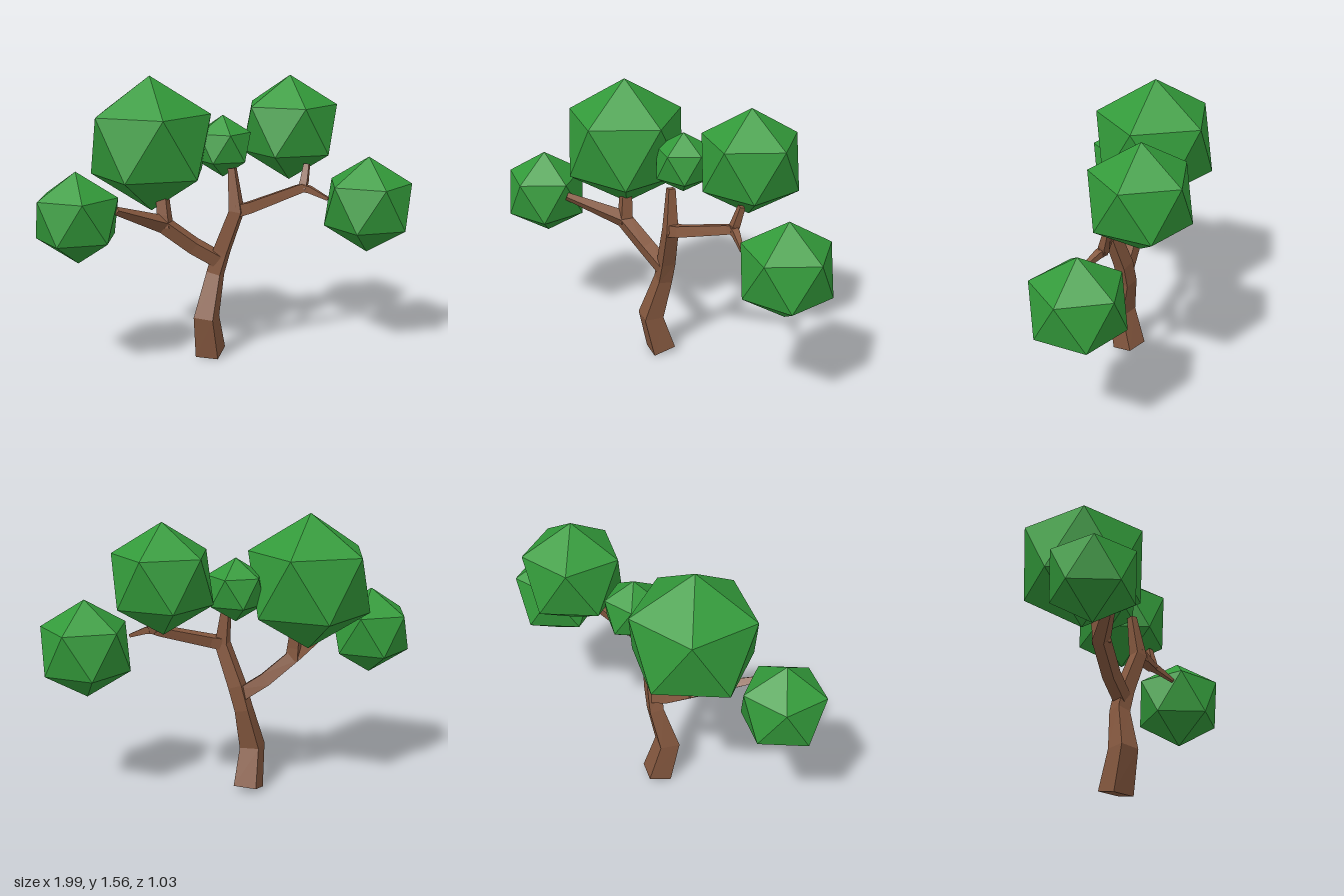
import * as THREE from 'three';

const bark = new THREE.MeshStandardMaterial({ color: 0x85583f, flatShading: true });
const leaf = new THREE.MeshStandardMaterial({ color: 0x339a3a, flatShading: true });

// Square-section limb through points [x, y, z, half width]; hint sets the roll of the section.
function limb(name, points, hint) {
  const centres = points.map(p => new THREE.Vector3(p[0], p[1], p[2]));
  const last = points.length - 1;
  const dir = (a, b) => centres[b].clone().sub(centres[a]).normalize();
  const position = [], index = [];
  points.forEach((p, i) => {
    const t = new THREE.Vector3();
    if (i > 0) t.add(dir(i - 1, i));
    if (i < last) t.add(dir(i, i + 1));
    t.normalize();
    const v = t.clone().cross(hint).normalize();
    const u = v.clone().cross(t);
    for (const [a, b] of [[1, -1], [1, 1], [-1, 1], [-1, -1]]) {
      const c = centres[i].clone().addScaledVector(u, a * p[3]).addScaledVector(v, b * p[3]);
      position.push(c.x, c.y, c.z);
    }
    if (i === last) return;
    for (let k = 0; k < 4; k++) {
      const a = i * 4 + k, b = i * 4 + (k + 1) % 4;
      index.push(a, b, b + 4, a, b + 4, a + 4);
    }
  });
  // end caps
  const e = last * 4;
  index.push(0, 2, 1, 0, 3, 2, e, e + 1, e + 2, e, e + 2, e + 3);
  let geometry = new THREE.BufferGeometry();
  geometry.setAttribute('position', new THREE.Float32BufferAttribute(position, 3));
  geometry.setIndex(index);
  geometry = geometry.toNonIndexed();
  geometry.computeVertexNormals();
  const mesh = new THREE.Mesh(geometry, bark);
  mesh.name = name;
  return mesh;
}

// Icosahedron standing on one of its corners.
function foliage(name, x, y, z, radius) {
  const geometry = new THREE.IcosahedronGeometry(radius, 0);
  geometry.rotateZ(-Math.atan(2 / (1 + Math.sqrt(5))));
  const mesh = new THREE.Mesh(geometry, leaf);
  mesh.position.set(x, y, z);
  mesh.name = name;
  return mesh;
}

export function createModel() {
  const tree = new THREE.Group();
  tree.name = 'tree';
  const upright = new THREE.Vector3(0.96, 0, 0.28);
  const sideways = new THREE.Vector3(0.28, 0, -0.96);

  // trunk, running on into the central branch
  tree.add(limb('trunk', [
    [-0.112, 0.02, -0.008, 0.065],
    [-0.13, 0.245, 0.048, 0.055],
    [-0.083, 0.48, -0.005, 0.039],
    [-0.047, 0.61, 0, 0.039],
    [0.035, 0.84, 0.035, 0.034],
    [0.01, 1.07, 0.012, 0.019],
  ], upright));

  // branch on the model's right, with its twigs
  tree.add(limb('rightBranch', [
    [-0.07, 0.56, 0, 0.036],
    [-0.2, 0.64, 0.02, 0.036],
    [-0.36, 0.77, 0.065, 0.036],
    [-0.58, 0.893, 0.295, 0.016],
  ], sideways));
  tree.add(limb('rightTwig', [
    [-0.35, 0.75, 0.06, 0.035],
    [-0.355, 0.82, 0.055, 0.031],
    [-0.365, 0.93, 0.04, 0.027],
  ], upright));

  // branch on the model's left, with its twigs
  tree.add(limb('leftBranch', [
    [0.03, 0.84, 0.035, 0.033],
    [0.1, 0.855, 0.022, 0.03],
    [0.37, 0.937, -0.088, 0.024],
    [0.415, 0.95, -0.098, 0.019],
  ], sideways));
  tree.add(limb('leftUpperTwig', [
    [0.39, 0.935, -0.095, 0.022],
    [0.402, 0.98, -0.105, 0.02],
    [0.415, 1.07, -0.13, 0.015],
  ], upright));
  tree.add(limb('leftLowerTwig', [
    [0.385, 0.945, -0.097, 0.021],
    [0.43, 0.937, -0.083, 0.018],
    [0.53, 0.893, -0.04, 0.009],
  ], sideways));

  // leaf clumps
  tree.add(
    foliage('largeFoliage', -0.43, 1.195, -0.01, 0.365),
    foliage('upperLeftFoliage', 0.32, 1.252, -0.265, 0.292),
    foliage('smallFoliage', -0.045, 1.17, -0.115, 0.17),
    foliage('lowerLeftFoliage', 0.755, 0.843, -0.14, 0.268),
    foliage('lowerRightFoliage', -0.782, 0.857, 0.308, 0.243),
  );
  return tree;
}
